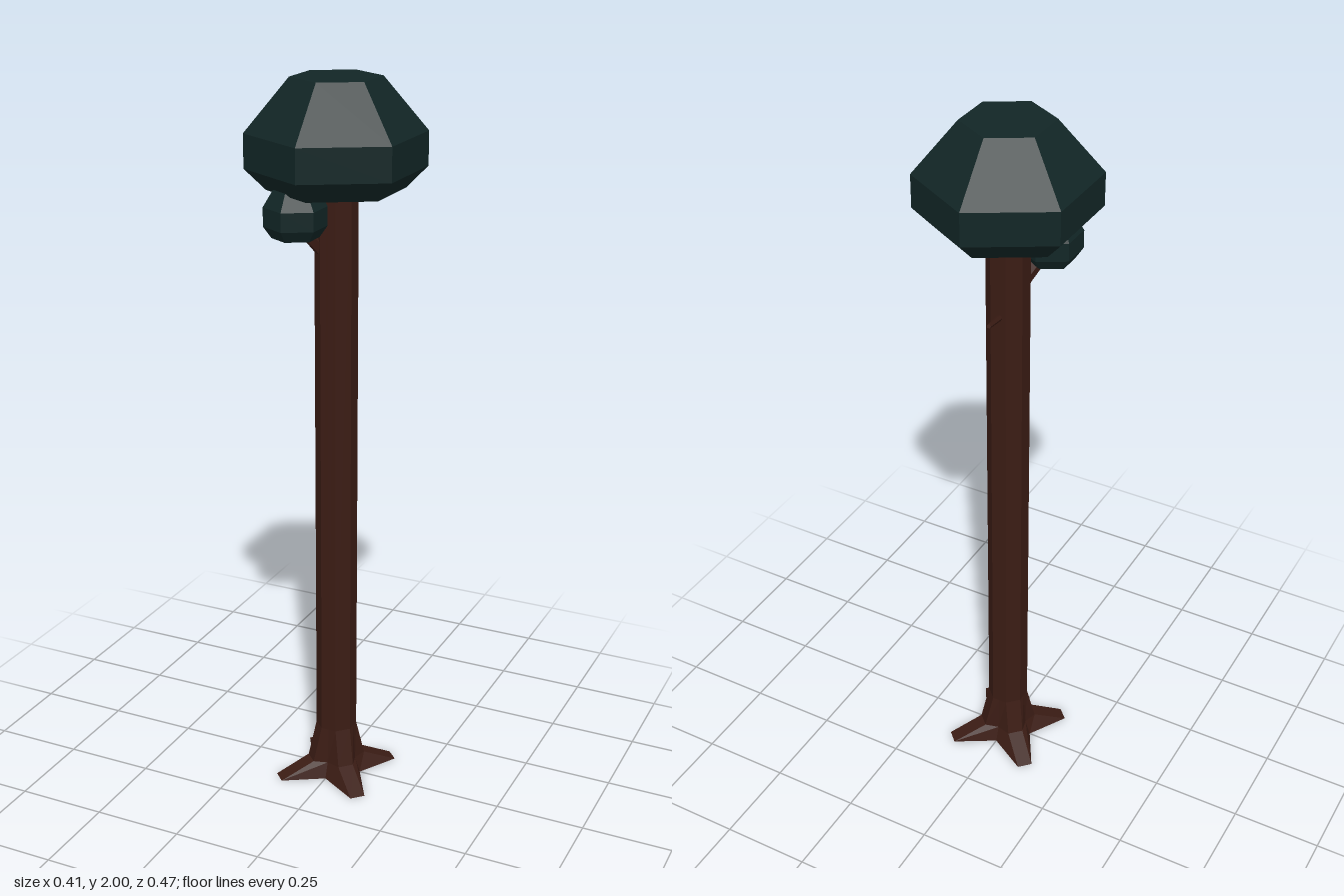
import * as THREE from 'three';

const bark = new THREE.MeshStandardMaterial({ color: 0x3b1c14, flatShading: true });
const leaves = new THREE.MeshStandardMaterial({ color: 0x122626, flatShading: true });

function addMesh(group, name, geometry, material) {
  const mesh = new THREE.Mesh(geometry, material);
  mesh.name = name;
  group.add(mesh);
  return mesh;
}

// Six-sided faceted crown from [radius, height] rings, closed at both ends
function crownGeometry(rings) {
  const profile = [[0, rings[0][1]], ...rings, [0, rings[rings.length - 1][1]]];
  return new THREE.LatheGeometry(profile.map(([r, y]) => new THREE.Vector2(r, y)), 6);
}

// One trunk section: four diagonal root faces with a valley between neighbours
function trunkRing({ y, reach, half, valley }) {
  const points = [];
  for (let k = 0; k < 4; k++) {
    const t = Math.PI / 4 + k * Math.PI / 2;
    const s = Math.sin(t), c = Math.cos(t);
    points.push([Math.sin(t - Math.PI / 4) * valley, y, Math.cos(t - Math.PI / 4) * valley]);
    for (const w of [-half, half]) points.push([s * reach + c * w, y, c * reach - s * w]);
  }
  return points;
}

function trunkGeometry(sections) {
  const rings = sections.map(trunkRing);
  const n = rings[0].length;
  const index = [];
  for (let r = 0; r < rings.length - 1; r++) {
    for (let i = 0; i < n; i++) {
      const a = r * n + i, b = r * n + (i + 1) % n;
      index.push(a, b, b + n, a, b + n, a + n);
    }
  }
  // Underside
  const centre = rings.length * n;
  for (let i = 0; i < n; i++) index.push(centre, (i + 1) % n, i);
  const geometry = new THREE.BufferGeometry();
  geometry.setAttribute('position', new THREE.Float32BufferAttribute([...rings.flat(2), 0, 0, 0], 3));
  geometry.setIndex(index);
  geometry.computeVertexNormals();
  return geometry;
}

// Straight tapered limb between two points
function addLimb(group, name, from, to, r0, r1) {
  const a = new THREE.Vector3(...from), b = new THREE.Vector3(...to);
  const dir = b.clone().sub(a);
  const limb = addMesh(group, name, new THREE.CylinderGeometry(r1, r0, dir.length(), 5), bark);
  limb.position.copy(a).add(b).multiplyScalar(0.5);
  limb.quaternion.setFromUnitVectors(new THREE.Vector3(0, 1, 0), dir.normalize());
}

export function createModel() {
  const tree = new THREE.Group();
  tree.name = 'tree';

  // Octagonal trunk flaring into four roots
  addMesh(tree, 'trunk', trunkGeometry([
    { y: 0, reach: 0.176, half: 0.021, valley: 0.075 },
    { y: 0.045, reach: 0.078, half: 0.022, valley: 0.06 },
    { y: 0.15, reach: 0.053, half: 0.022, valley: 0.053 },
    { y: 1.8, reach: 0.053, half: 0.022, valley: 0.053 },
  ]), bark);

  // Main crown
  addMesh(tree, 'crown', crownGeometry([[0.181, 1.715], [0.237, 1.77], [0.237, 1.86], [0.119, 2]]), leaves);

  // Side branch carrying a small leaf cluster
  addLimb(tree, 'sideBranch', [-0.025, 1.55, 0.025], [-0.072, 1.64, 0.09], 0.018, 0.016);
  const cluster = addMesh(tree, 'leafCluster',
    crownGeometry([[0.062, 1.6], [0.083, 1.63], [0.083, 1.68], [0.05, 1.735]]), leaves);
  cluster.position.set(-0.072, 0, 0.093);

  // Bare twig at the back
  addLimb(tree, 'twig', [0, 1.476, -0.03], [-0.02, 1.506, -0.136], 0.009, 0.006);

  return tree;
}
